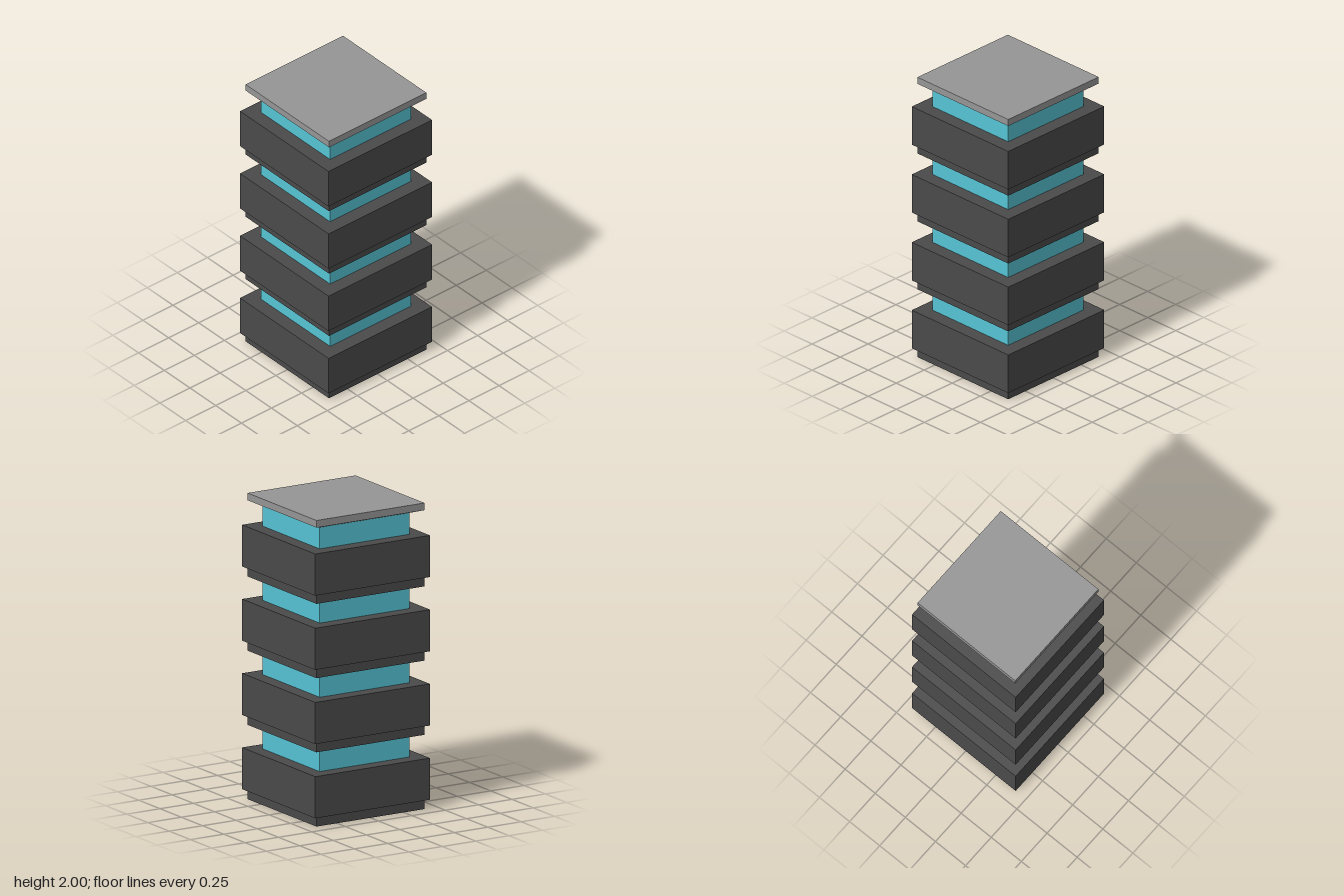
import * as THREE from 'three';

const dark = new THREE.MeshStandardMaterial({ color: 0x4a4a4a });
const glass = new THREE.MeshStandardMaterial({ color: 0x56c4d4 });
const grey = new THREE.MeshStandardMaterial({ color: 0x969696 });

const FLOORS = 4;
const PITCH = 0.485;

// Square slab of a given half width between two heights
function slab(name, half, y0, y1, material) {
  const mesh = new THREE.Mesh(new THREE.BoxGeometry(half * 2, y1 - y0, half * 2), material);
  mesh.position.y = (y0 + y1) / 2;
  mesh.name = name;
  return mesh;
}

// Square slab whose sides slope from a bottom to a top half width
function taperedSlab(name, bottomHalf, topHalf, y0, y1, material) {
  const mesh = slab(name, 1, y0, y1, material);
  const pos = mesh.geometry.attributes.position;
  for (let i = 0; i < pos.count; i++) {
    const half = pos.getY(i) > 0 ? topHalf : bottomHalf;
    pos.setX(i, Math.sign(pos.getX(i)) * half);
    pos.setZ(i, Math.sign(pos.getZ(i)) * half);
  }
  mesh.geometry.computeVertexNormals();
  return mesh;
}

export function createModel() {
  const tower = new THREE.Group();
  tower.name = 'tower';

  // Repeating storeys: recessed plinth, wide wall band, set-back window band
  for (let i = 0; i < FLOORS; i++) {
    const floor = new THREE.Group();
    floor.name = `floor${i + 1}`;
    floor.position.y = i * PITCH;
    const windowTop = i === FLOORS - 1 ? 1.93 - floor.position.y : PITCH;
    floor.add(
      slab('plinth', 0.405, 0, 0.063, dark),
      slab('wallBand', 0.43, 0.063, 0.335, dark),
      slab('windowBand', 0.337, 0.335, windowTop, glass)
    );
    tower.add(floor);
  }

  // Roof: sloping soffit below a thin flat slab
  const roof = new THREE.Group();
  roof.name = 'roof';
  roof.add(
    taperedSlab('roofSoffit', 0.337, 0.405, 1.93, 1.953, grey),
    slab('roofSlab', 0.405, 1.953, 2, grey)
  );
  tower.add(roof);

  return tower;
}
